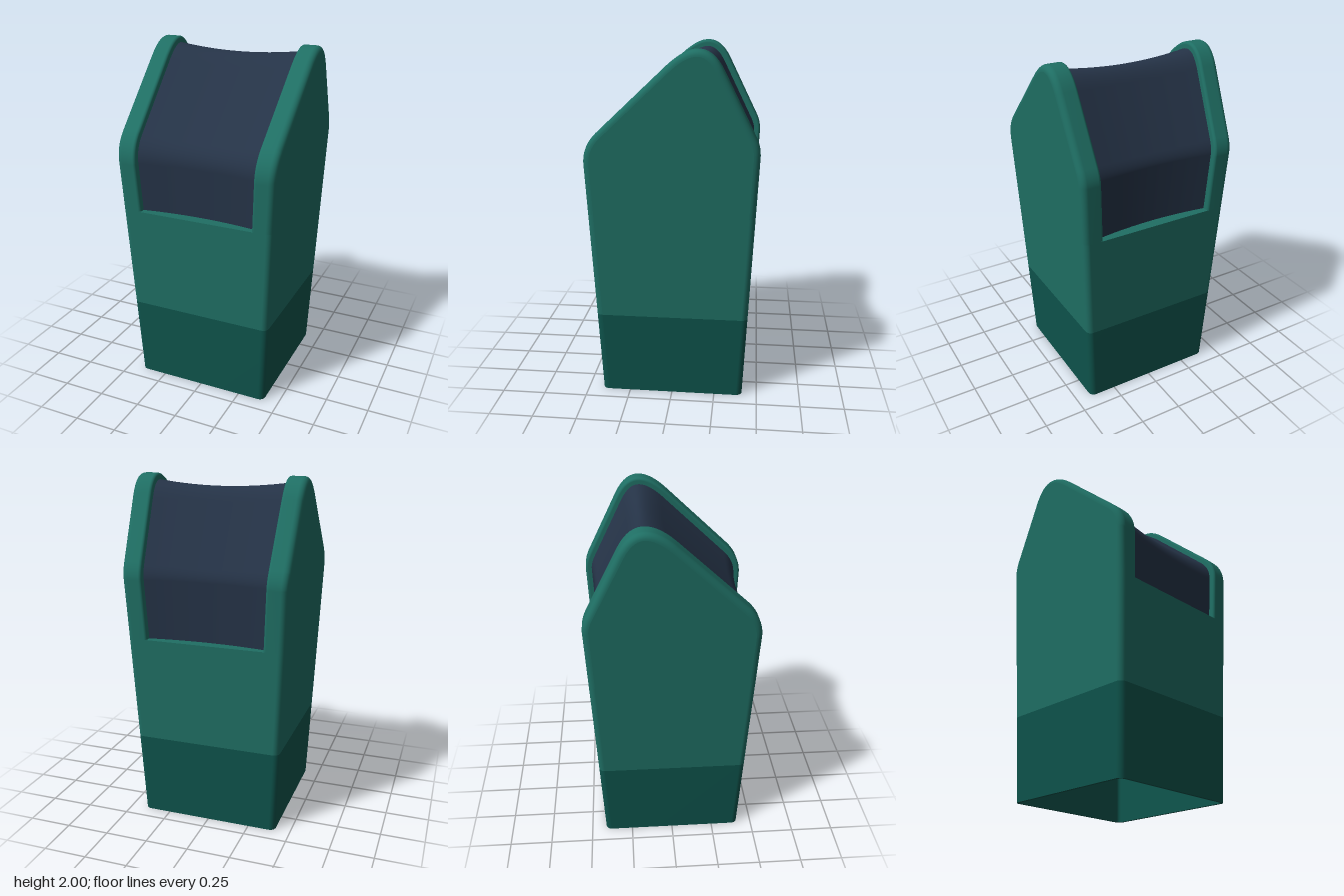
import * as THREE from 'three';

const R = 0.035, WALL = 0.016, SPLIT = 0.49, LEDGE = 1.1;
// tapering half width and half depth
const halfX = y => 0.41 + 0.0435 * y;
const halfZ = y => 0.413 + 0.046 * y;
const innerX = y => halfX(y) - 0.117;

const material = color => new THREE.MeshStandardMaterial({ color, side: THREE.DoubleSide });

// Surface grid from a function of two indices
function grid(nu, nv, fn, flip = false) {
  const pos = [], idx = [];
  for (let i = 0; i < nu; i++) for (let j = 0; j < nv; j++) pos.push(...fn(i, j));
  for (let i = 0; i < nu - 1; i++) for (let j = 0; j < nv - 1; j++) {
    const a = i * nv + j, b = a + 1, c = a + nv, d = c + 1;
    if (flip) idx.push(a, b, c, b, d, c);
    else idx.push(a, c, b, b, c, d);
  }
  const g = new THREE.BufferGeometry();
  g.setAttribute('position', new THREE.Float32BufferAttribute(pos, 3));
  g.setIndex(idx);
  g.computeVertexNormals();
  return g;
}

// Closed rounded rectangle at height y, inset by t
function ring(y, t) {
  const pts = [], r = R - t, n = 6;
  for (let q = 0; q < 4; q++) for (let k = 0; k <= n; k++) {
    const a = (q + k / n) * Math.PI / 2;
    const sx = q === 0 || q === 3 ? 1 : -1, sz = q < 2 ? 1 : -1;
    pts.push([sx * (halfX(y) - R) + r * Math.cos(a), y, sz * (halfZ(y) - R) + r * Math.sin(a)]);
  }
  pts.push(pts[0]);
  return pts;
}

// Hollow tapered band of wall
function band(name, y0, y1, mat) {
  const group = new THREE.Group();
  group.name = name;
  const add = (part, lo, hi) => {
    const m = new THREE.Mesh(grid(2, lo.length, (i, j) => (i ? hi : lo)[j]), mat);
    m.name = part;
    group.add(m);
  };
  add('outerWall', ring(y0, 0), ring(y1, 0));
  add('innerWall', ring(y1, WALL), ring(y0, WALL));
  if (y0 === 0) add('bottomRim', ring(0, WALL), ring(0, 0));
  if (y1 === LEDGE) add('topRim', ring(y1, 0), ring(y1, WALL));
  return group;
}

// Side silhouette of the upper part (z, y), front to back over the peak
function sidePath() {
  const p = new THREE.Path();
  p.moveTo(halfZ(LEDGE), LEDGE);
  p.lineTo(halfZ(1.38), 1.38);
  p.quadraticCurveTo(0.481, 1.483, 0.40, 1.559);
  p.lineTo(0.02, 1.916);
  p.quadraticCurveTo(-0.175, 2.095, -0.28, 1.89);
  p.lineTo(-0.455, 1.54);
  p.quadraticCurveTo(-0.481, 1.488, -halfZ(1.44), 1.44);
  p.lineTo(-halfZ(LEDGE), LEDGE);
  const pts = p.getPoints(14);
  const dir = i => pts[i + 1].clone().sub(pts[i]).normalize();
  const last = pts.length - 1;
  const normals = pts.map((_, i) => {
    const t = dir(Math.min(i, last - 1)).add(dir(Math.max(i - 1, 0))).normalize();
    return new THREE.Vector2(-t.y, t.x);
  });
  // point i moved inward by d, ends kept level
  const inset = (i, d) => {
    const z = pts[i].x + normals[i].x * d, y = pts[i].y + normals[i].y * d;
    return [z, i === 0 || i === last ? LEDGE : y];
  };
  // make the inward direction point into the shape
  if (inset(0, 0.1)[0] > pts[0].x) normals.forEach(n => n.negate());
  return { count: pts.length, inset };
}

// Cross-section of a cheek: [x measured from outer face, inset]
function cheekSection() {
  const s = [], r2 = 0.016, n = 6;
  for (let k = 0; k <= n; k++) {
    const a = k / n * Math.PI / 2;
    s.push([R * (1 - Math.cos(a)), R * (1 - Math.sin(a))]);
  }
  for (let k = 0; k <= n; k++) {
    const a = k / n * Math.PI / 2;
    s.push([0.117 - r2 + r2 * Math.sin(a), r2 * (1 - Math.cos(a))]);
  }
  s.push([0.117, 0.08]);
  return s;
}

function cheek(name, side, path, mat) {
  const group = new THREE.Group();
  group.name = name;
  const section = cheekSection();
  // rounded rim
  const rim = new THREE.Mesh(grid(path.count, section.length, (i, j) => {
    const [z, y] = path.inset(i, section[j][1]);
    return [side * (halfX(y) - section[j][0]), y, z];
  }, side < 0), mat);
  rim.name = 'cheekRim';
  // flat outer face
  const outline = [];
  for (let i = 0; i < path.count; i++) outline.push(new THREE.Vector2(...path.inset(i, R)));
  const g = new THREE.ShapeGeometry(new THREE.Shape(outline));
  const p = g.attributes.position;
  for (let i = 0; i < p.count; i++) p.setXYZ(i, side * halfX(p.getY(i)), p.getY(i), p.getX(i));
  if (side > 0) {
    const a = g.index.array;
    for (let i = 0; i < a.length; i += 3) [a[i], a[i + 1]] = [a[i + 1], a[i]];
  }
  g.computeVertexNormals();
  const face = new THREE.Mesh(g, mat);
  face.name = 'cheekFace';
  group.add(rim, face);
  return group;
}

export function createModel() {
  const model = new THREE.Group();
  model.name = 'litterBin';
  const green = material(0x1f6f64), darkGreen = material(0x0e544c), navy = material(0x253347);
  const path = sidePath();

  model.add(band('base', 0, SPLIT, darkGreen), band('body', SPLIT, LEDGE, green));
  model.add(cheek('leftCheek', 1, path, green), cheek('rightCheek', -1, path, green));

  // saddle-shaped cover between the cheeks
  const cols = 17;
  const cover = new THREE.Mesh(grid(path.count, cols, (i, j) => {
    const u = 1 - 2 * j / (cols - 1);
    const [z, y] = path.inset(i, 0.037 + 0.027 * (1 - u * u));
    return [u * innerX(y), y, z];
  }), navy);
  cover.name = 'cover';
  model.add(cover);

  // ledges under the cover, front and back
  for (const s of [1, -1]) {
    const ledge = new THREE.Mesh(new THREE.BoxGeometry(2 * innerX(LEDGE) + 0.04, 0.025, 0.08), green);
    ledge.position.set(0, LEDGE - 0.0135, s * (halfZ(LEDGE) - 0.05));
    ledge.name = s > 0 ? 'frontLedge' : 'backLedge';
    model.add(ledge);
  }
  return model;
}
